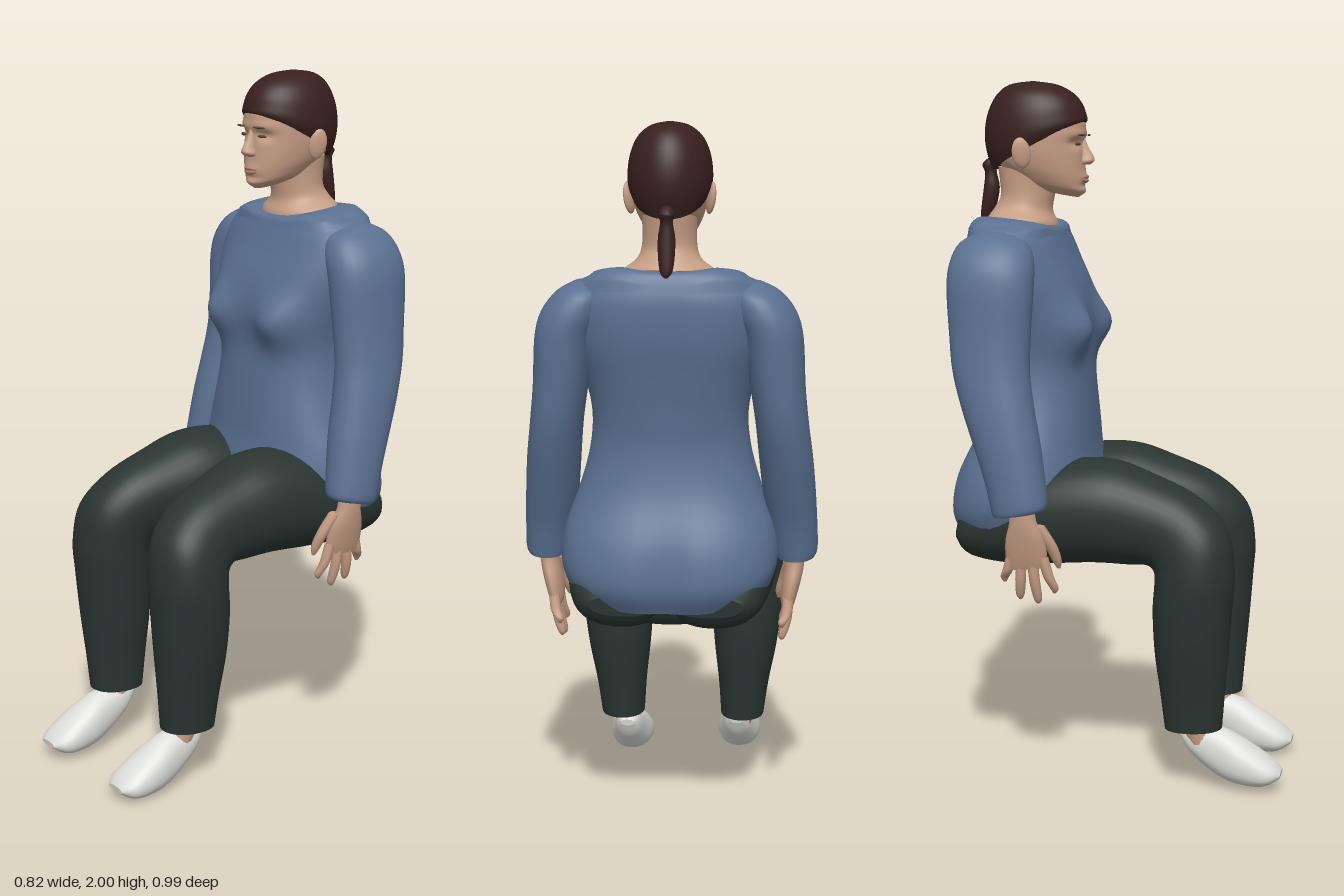
import * as THREE from 'three';

const mat = (name, color) => {
  const m = new THREE.MeshStandardMaterial({ color });
  m.name = name;
  return m;
};

// Catmull-Rom blend of the rows at t in 0..1
function sampleRow(rows, t) {
  const f = t * (rows.length - 1), i = Math.min(Math.floor(f), rows.length - 2), u = f - i;
  const at = k => rows[Math.max(0, Math.min(rows.length - 1, k))];
  const [p, a, b, n] = [at(i - 1), at(i), at(i + 1), at(i + 2)];
  return a.map((v, k) => v + 0.5 * u * (b[k] - p[k] + u * (2 * p[k] - 5 * v + 4 * b[k] - n[k]
    + u * (3 * (v - b[k]) + n[k] - p[k]))));
}

// Smooth skin over rings; a row is [xMin, xMax, yFront, zFront, yBack, zBack]
function loft(rows, { sides = 28, steps = 4, power = 2, deform } = {}) {
  const n = (rows.length - 1) * steps, pos = [], idx = [], v = new THREE.Vector3();
  const bend = s => Math.sign(s) * Math.abs(s) ** (2 / power);
  const put = (x, y, z) => {
    v.set(x, y, z);
    if (deform) deform(v);
    pos.push(v.x, v.y, v.z);
  };
  const ring = r => {
    for (let j = 0; j < sides; j++) {
      const a = j / sides * Math.PI * 2, c = bend(Math.cos(a)), s = bend(Math.sin(a));
      put((r[0] + r[1]) / 2 + c * (r[1] - r[0]) / 2,
        (r[2] + r[4]) / 2 + s * (r[2] - r[4]) / 2, (r[3] + r[5]) / 2 + s * (r[3] - r[5]) / 2);
    }
  };
  for (let i = 0; i <= n; i++) ring(sampleRow(rows, i / n));
  for (let i = 0; i < n; i++) for (let j = 0; j < sides; j++) {
    const a = i * sides + j, b = i * sides + (j + 1) % sides;
    idx.push(a, b, a + sides, b, b + sides, a + sides);
  }
  // end caps with their own corners
  [rows[0], rows[rows.length - 1]].forEach((r, e) => {
    const base = pos.length / 3;
    ring(r);
    put((r[0] + r[1]) / 2, (r[2] + r[4]) / 2, (r[3] + r[5]) / 2);
    for (let j = 0; j < sides; j++) {
      const a = base + j, b = base + (j + 1) % sides;
      idx.push(base + sides, ...(e ? [a, b] : [b, a]));
    }
  });
  // turn the faces outward
  let vol = 0;
  const P = k => new THREE.Vector3().fromArray(pos, idx[k] * 3), o = P(0);
  for (let k = 0; k < idx.length; k += 3) vol += P(k).sub(o).dot(P(k + 1).sub(o).cross(P(k + 2).sub(o)));
  if (vol < 0) idx.reverse();
  const g = new THREE.BufferGeometry();
  g.setAttribute('position', new THREE.Float32BufferAttribute(pos, 3));
  g.setIndex(idx);
  g.computeVertexNormals();
  return g;
}

const centred = rows => rows.map(([w, ...r]) => [-w, w, ...r]);
const mirror = (rows, s) => rows.map(([a, b, ...r]) => s > 0 ? [a, b, ...r] : [-b, -a, ...r]);
const bump = (dx, dy, rx, ry = rx) => Math.exp(-((dx / rx) ** 2) - (dy / ry) ** 2);
// Thin round limb through points [x, y, z, radius]
const limb = pts => pts.map(([x, y, z, r]) => [x - r, x + r, y, z + r, y, z - r]);

export function createModel() {
  const model = new THREE.Group();
  const blue = mat('sweater blue', 0x5b7192), green = mat('trouser green', 0x2a3532);
  const skin = mat('skin', 0xc69e85), hair = mat('hair brown', 0x38201f);
  const white = mat('shoe white', 0xdededa), dark = mat('eye brown', 0x5a463c), lip = mat('lip', 0xb28470);
  const add = (name, geo, material) => {
    const m = new THREE.Mesh(geo, material);
    m.name = name;
    model.add(m);
    return m;
  };

  // Sweater body with bust, spine and seat shaping
  add('sweaterBody', loft(centred([
    [.28, .82, -.075, .69, -.462], [.30, .88, -.07, .76, -.493], [.288, .95, -.08, .87, -.478],
    [.25, 1.03, -.085, 1.0, -.42], [.222, 1.12, -.092, 1.12, -.4], [.215, 1.22, -.1, 1.22, -.41],
    [.235, 1.32, -.095, 1.32, -.428], [.265, 1.42, -.115, 1.42, -.445], [.275, 1.5, -.15, 1.52, -.448],
    [.25, 1.555, -.172, 1.575, -.435], [.19, 1.58, -.182, 1.605, -.42], [.13, 1.588, -.19, 1.612, -.405],
  ]), {
    sides: 56, steps: 5, power: 2.4, deform: v => {
      const x = Math.abs(v.x);
      if (v.z > -.25) v.z += .05 * bump(x - .14, v.y - 1.3, .07, .075);
      else v.z += .022 * bump(x, v.y - .78, .05, .14) + .012 * bump(x, v.y - 1.35, .05, .2);
      if (v.y > 1.57) v.y += .014 * Math.min(1, (x / .13) ** 2) * (x < .2 ? 1 : 0.5);
    },
  }), blue);

  // Seat of the trousers
  add('trouserSeat', loft(centred([
    [.1, .635, -.15, .64, -.38], [.2, .67, -.1, .665, -.43], [.24, .76, -.085, .73, -.452], [.23, .85, -.1, .8, -.44],
  ]), { power: 2.4 }), green);

  // Neck and collar skin
  add('neck', loft(centred([
    [.124, 1.592, -.197, 1.615, -.398], [.12, 1.604, -.2, 1.622, -.394], [.086, 1.635, -.212, 1.645, -.378],
    [.074, 1.68, -.205, 1.68, -.362], [.075, 1.74, -.19, 1.76, -.37],
  ])), skin);

  // Head with eye sockets, cheeks and mouth relief
  add('head', loft(centred([
    [.03, 1.978, -.23, 1.978, -.3], [.075, 1.955, -.16, 1.955, -.355], [.1, 1.9, -.12, 1.9, -.39],
    [.104, 1.85, -.114, 1.85, -.395], [.101, 1.8, -.117, 1.8, -.385], [.093, 1.755, -.115, 1.77, -.368],
    [.081, 1.72, -.114, 1.745, -.34], [.062, 1.69, -.115, 1.715, -.31], [.03, 1.672, -.135, 1.695, -.26],
  ]), {
    sides: 64, steps: 8, power: 2.2, deform: v => {
      if (v.z < -.21) return;
      const x = Math.abs(v.x);
      v.z += -.014 * bump(x - .042, v.y - 1.825, .026, .016) + .005 * bump(x - .04, v.y - 1.85, .04, .012)
        + .006 * bump(x, v.y - 1.726, .03, .018) + .004 * bump(x, v.y - 1.685, .03, .014)
        - .005 * bump(x, v.y - 1.705, .04, .01);
    },
  }), skin);
  add('nose', loft(centred([
    [.008, 1.842, -.114, 1.842, -.14], [.011, 1.815, -.104, 1.815, -.14], [.015, 1.79, -.089, 1.79, -.14],
    [.021, 1.775, -.086, 1.772, -.14], [.016, 1.764, -.1, 1.764, -.14],
  ]), { sides: 16 }), skin);
  add('lips', loft(centred([
    [.012, 1.737, -.108, 1.737, -.13], [.028, 1.731, -.103, 1.731, -.14], [.03, 1.725, -.106, 1.725, -.14],
    [.026, 1.718, -.104, 1.718, -.14], [.01, 1.712, -.109, 1.712, -.13],
  ]), { sides: 16 }), lip);

  // Cropped cap of hair and ponytail
  add('hairCap', loft(centred([
    [.004, 2.0, -.262, 2.0, -.27], [.05, 1.99, -.195, 1.99, -.335], [.086, 1.965, -.147, 1.958, -.375],
    [.106, 1.935, -.122, 1.905, -.4], [.114, 1.908, -.112, 1.845, -.408], [.114, 1.894, -.108, 1.79, -.4],
    [.104, 1.888, -.109, 1.748, -.385],
  ]), { sides: 40 }), hair);
  add('ponytail', loft(limb([
    [0, 1.785, -.385, .012], [0, 1.765, -.398, .021], [0, 1.74, -.394, .017], [0, 1.7, -.392, .023],
    [0, 1.65, -.4, .022], [0, 1.61, -.41, .016], [0, 1.588, -.416, .004],
  ]), { sides: 14 }), hair);

  for (const s of [1, -1]) {
    const side = s > 0 ? 'left' : 'right';
    const part = (name, rows, m, opt) => add(side + name, loft(mirror(rows, s), opt), m);

    // Eye, brow and ear
    for (const [name, y, z, w, h, m] of [['Eye', 1.823, -.124, .016, .0045, dark], ['Brow', 1.848, -.112, .022, .003, dark]]) {
      const e = add(side + name, new THREE.SphereGeometry(1, 16, 10), m);
      e.scale.set(w, h, .0045);
      e.position.set(s * .043, y, z);
      e.rotation.y = s * .25;
    }
    const ear = add(side + 'Ear', new THREE.SphereGeometry(1, 16, 12), skin);
    ear.scale.set(.011, .044, .027);
    ear.position.set(s * .11, 1.798, -.272);
    ear.rotation.set(-.15, -s * .35, -s * .15);

    // Sleeve
    part('Sleeve', [
      [.2, .25, 1.582, -.29, 1.582, -.36], [.16, .302, 1.553, -.225, 1.553, -.415],
      [.17, .344, 1.5, -.2, 1.5, -.437], [.2, .363, 1.43, -.195, 1.43, -.44], [.22, .37, 1.3, -.2, 1.3, -.43],
      [.235, .38, 1.2, -.2, 1.2, -.418], [.245, .393, 1.1, -.185, 1.1, -.39], [.255, .402, 1, -.165, 1, -.355],
      [.27, .408, .9, -.15, .9, -.32], [.283, .41, .84, -.142, .82, -.3], [.29, .404, .822, -.15, .8, -.295],
    ], blue, { sides: 32, power: 2.15 });

    // Hand, fingers and thumb
    part('Hand', [
      [.322, .375, .84, -.178, .84, -.252], [.322, .374, .79, -.172, .785, -.25], [.313, .366, .74, -.152, .73, -.264],
      [.307, .351, .685, -.146, .67, -.266], [.314, .342, .655, -.155, .645, -.26],
    ], skin, { sides: 20 });
    [[-.158, -.13, .58], [-.19, -.178, .548], [-.221, -.229, .558], [-.25, -.274, .606]].forEach(([z, tz, ty], i) =>
      part('Finger' + (i + 1), limb([
        [.33, .685, z, .015], [.325, (.68 + ty) / 2, (z + tz) / 2, .015], [.314, ty + .015, tz, .012], [.312, ty, tz, .004],
      ]), skin, { sides: 10 }));
    part('Thumb', limb([
      [.335, .775, -.172, .02], [.32, .72, -.14, .018], [.306, .675, -.125, .014], [.302, .65, -.12, .005],
    ]), skin, { sides: 10 });

    // Trouser leg bent at the knee
    part('TrouserLeg', [
      [.02, .21, .74, -.452, .68, -.448], [0, .255, .81, -.42, .64, -.41], [0, .285, .89, -.28, .625, -.3],
      [-.002, .297, .932, -.14, .63, -.18], [.005, .297, .937, 0, .64, -.05], [.03, .287, .9, .12, .64, .06],
      [.055, .288, .842, .25, .645, .105], [.075, .302, .755, .337, .635, .13], [.085, .31, .64, .36, .6, .135],
      [.09, .306, .54, .355, .52, .13], [.1, .29, .4, .345, .4, .135], [.113, .267, .28, .335, .28, .15],
      [.12, .252, .178, .327, .172, .163],
    ], green, { sides: 36, steps: 5, power: 2.15 });

    // Ankle and shoe, the right one set slightly forward and up
    const d = s > 0 ? 0 : .012;
    part('Ankle', limb([[.178, .23, .25, .046], [.176, .17, .255, .042], [.172, .12, .27, .04]]), skin, { sides: 16 });
    const shoe = part('Shoe', [
      [.15, .19, .155, .192, .135, .195], [.133, .207, .172, .23, .088, .222], [.12, .222, .163, .31, .035, .285],
      [.107, .236, .132, .375, .008, .345], [.105, .237, .096, .43, 0, .41], [.114, .229, .067, .468, .008, .45],
      [.14, .205, .048, .486, .03, .484],
    ], white, { sides: 24, power: 2.3 });
    shoe.position.set(0, d, d);
  }
  return model;
}
